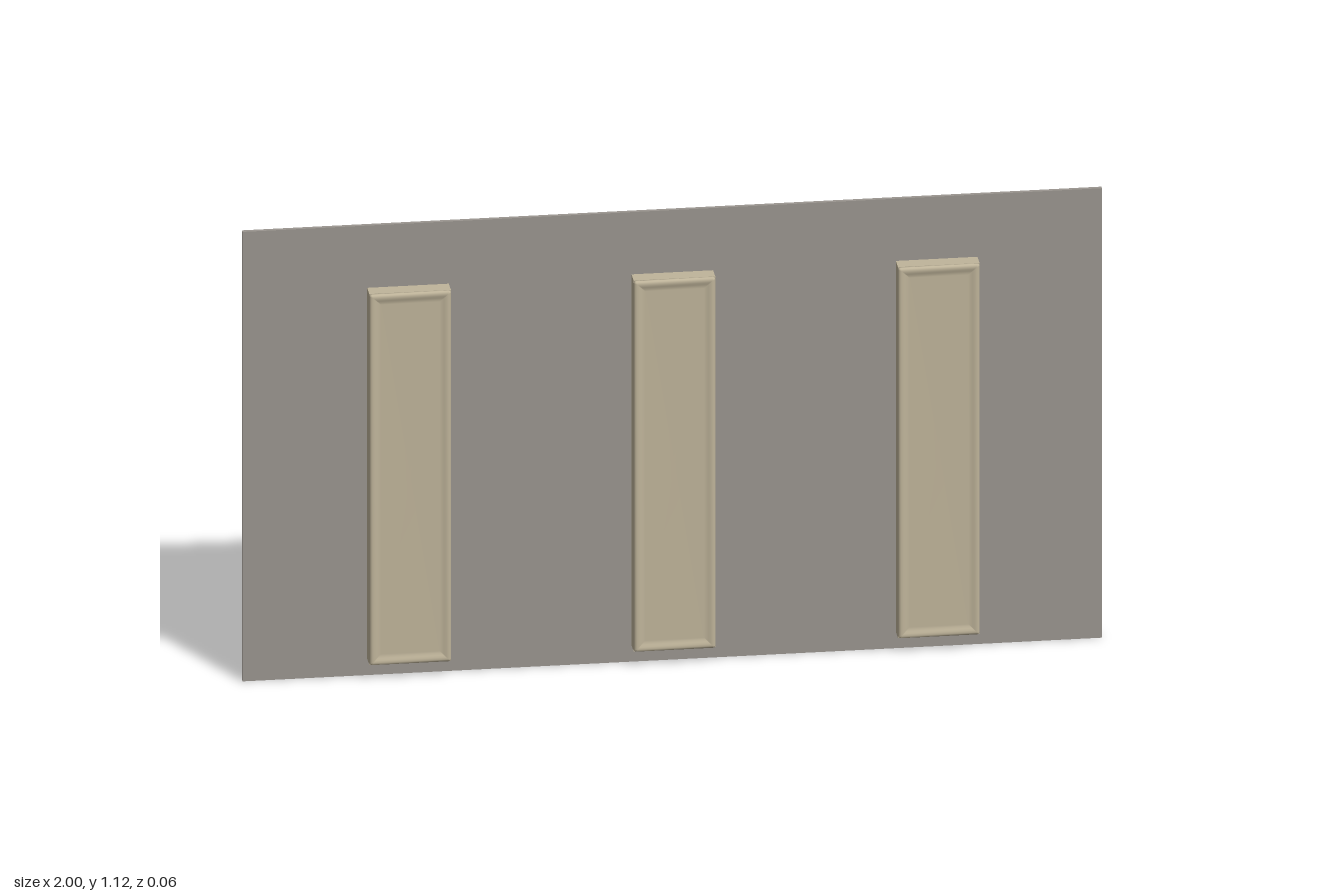
import * as THREE from 'three';

const W = 0.19, H = 0.924, PAD_Y = 0.503;

const panelMaterial = new THREE.MeshStandardMaterial({ color: 0x9a958f });
panelMaterial.name = 'warm grey panel';
const padMaterial = new THREE.MeshStandardMaterial({ color: 0xbfb49a });
padMaterial.name = 'beige upholstery';

function addBox(parent, name, size, position, material) {
  const mesh = new THREE.Mesh(new THREE.BoxGeometry(...size), material);
  mesh.name = name;
  mesh.position.set(...position);
  parent.add(mesh);
}

// Front cover: rounded rectangles stepped along a rolled rim profile of [inset, z]
function coverGeometry() {
  const profile = [[0.003, 0.019], [0, 0.021], [0.0005, 0.024], [0.003, 0.027], [0.007, 0.028],
    [0.012, 0.0275], [0.017, 0.0255], [0.022, 0.024], [0.027, 0.0235]];
  const steps = 4, count = 4 * (steps + 1);
  const positions = [], indices = [];
  for (const [inset, z] of profile) {
    const r = Math.max(0.006 - inset, 0.001);
    for (let corner = 0; corner < 4; corner++) {
      const sx = corner === 0 || corner === 3 ? 1 : -1, sy = corner < 2 ? 1 : -1;
      for (let i = 0; i <= steps; i++) {
        const a = (corner + i / steps) * Math.PI / 2;
        positions.push(sx * (W / 2 - inset - r) + r * Math.cos(a),
          sy * (H / 2 - inset - r) + r * Math.sin(a), z);
      }
    }
  }
  for (let k = 0; k < profile.length - 1; k++) {
    for (let i = 0; i < count; i++) {
      const a = k * count + i, b = k * count + (i + 1) % count;
      indices.push(a, b, b + count, a, b + count, a + count);
    }
  }
  // Flat centre
  const last = (profile.length - 1) * count, centre = positions.length / 3;
  positions.push(0, 0, profile[profile.length - 1][1]);
  for (let i = 0; i < count; i++) indices.push(centre, last + i, last + (i + 1) % count);
  const geometry = new THREE.BufferGeometry();
  geometry.setAttribute('position', new THREE.Float32BufferAttribute(positions, 3));
  geometry.setIndex(indices);
  geometry.computeVertexNormals();
  return geometry;
}

export function createModel() {
  const model = new THREE.Group();
  model.name = 'wallPanel';
  addBox(model, 'backPanel', [2, 1.12, 0.01], [0, 0.56, -0.023], panelMaterial);

  // Three tall upholstered pads
  const cover = coverGeometry();
  for (const x of [-0.615, 0, 0.615]) {
    const pad = new THREE.Group();
    pad.name = 'pad';
    pad.position.set(x, PAD_Y, 0);
    addBox(pad, 'padBase', [W, H, 0.038], [0, 0, 0.001], padMaterial);
    const front = new THREE.Mesh(cover, padMaterial);
    front.name = 'padCover';
    pad.add(front);
    model.add(pad);
  }
  return model;
}
